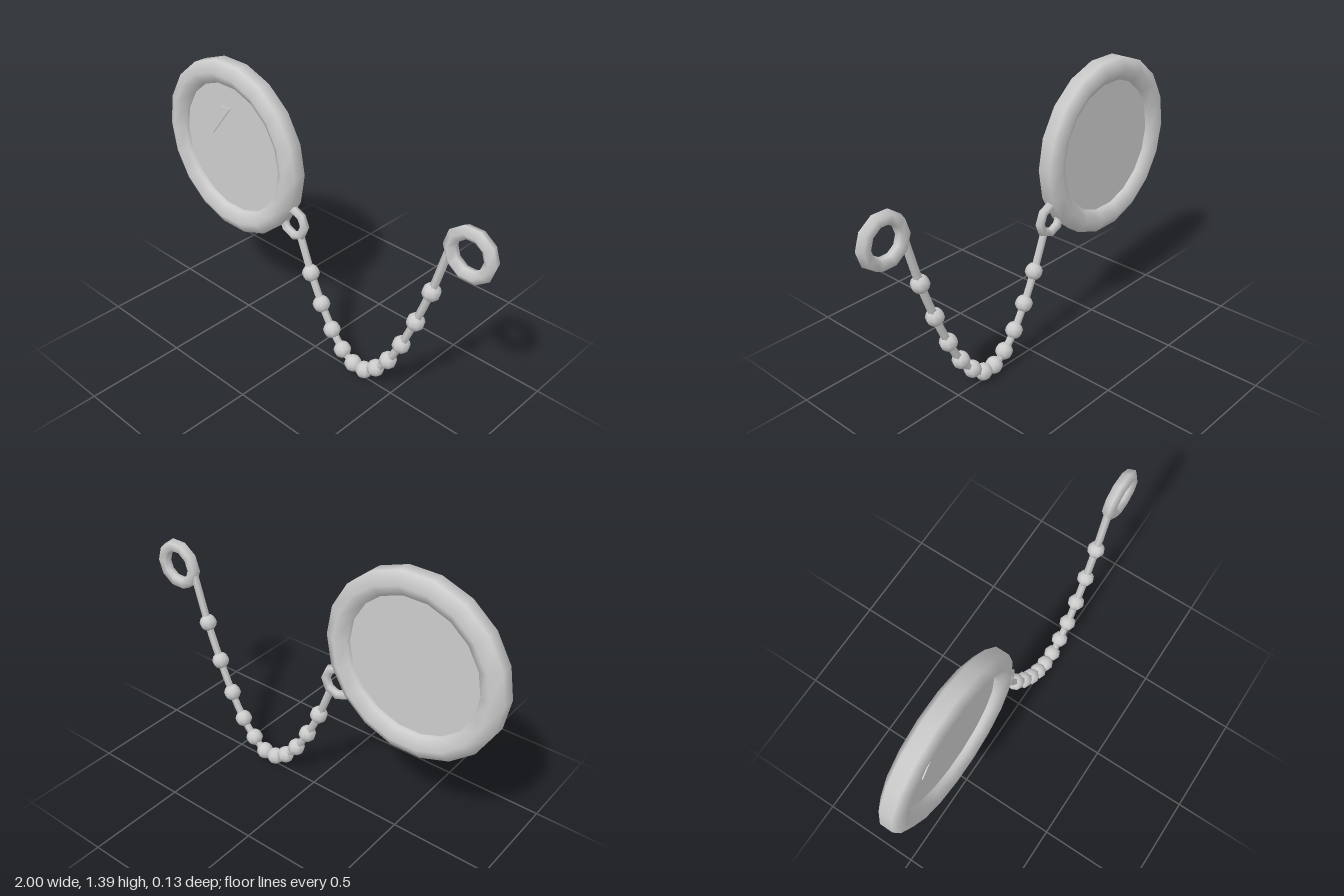
import * as THREE from 'three';

// Ring facing +z whose tube has `sides` sides; `first` is the angle of its first corner.
function ringGeometry(radius, tube, sides, first, segments) {
  const corners = [];
  for (let i = 0; i < sides; i++) {
    const a = first + (i / sides) * Math.PI * 2;
    corners.push(new THREE.Vector2(radius + tube * Math.cos(a), tube * Math.sin(a)));
  }
  // close the loop in the middle of an inner face so the shading has no seam
  const join = corners[0].clone().add(corners[sides - 1]).multiplyScalar(0.5);
  return new THREE.LatheGeometry([join, ...corners, join.clone()], segments, Math.PI / 2)
    .rotateX(Math.PI / 2);
}

export function createModel() {
  const model = new THREE.Group();
  model.name = 'monocle';
  const silver = new THREE.MeshStandardMaterial({ color: 0xcccccc });
  silver.name = 'silver';

  const add = (name, geometry, x = 0, y = 0, z = 0) => {
    const mesh = new THREE.Mesh(geometry, silver);
    mesh.name = name;
    mesh.position.set(x, y, z);
    model.add(mesh);
    return mesh;
  };
  const deg = THREE.MathUtils.degToRad;

  // Rim and lens
  add('rim', ringGeometry(0.394, 0.065, 6, deg(210), 18), -0.55, 0.95);
  const lens = new THREE.CylinderGeometry(0.345, 0.345, 0.02, 18, 1, false, Math.PI / 2);
  add('lens', lens.rotateX(Math.PI / 2), -0.55, 0.95);

  // Slanted glint on the front of the lens
  const glint = new THREE.Shape([
    new THREE.Vector2(-0.755, 0.985), new THREE.Vector2(-0.69, 0.985),
    new THREE.Vector2(-0.555, 1.155), new THREE.Vector2(-0.615, 1.155),
  ]);
  add('glint', new THREE.ExtrudeGeometry(glint, { depth: 0.008, bevelEnabled: false }), 0, 0, 0.008);

  // Rings at the two ends of the chain
  add('rimLoop', ringGeometry(0.072, 0.024, 5, deg(234), 8), -0.145, 0.69);
  add('endRing', ringGeometry(0.102, 0.033, 5, deg(234), 10), 0.866, 0.975);

  // Evenly spaced beads on a hanging cord
  const heights = [0.45, 0.30, 0.18, 0.095, 0.05, 0.05, 0.105, 0.195, 0.33, 0.50, 0.70];
  const beads = heights.map((y, i) => new THREE.Vector3(-0.03 + i * 0.072, y, 0));
  const path = new THREE.CatmullRomCurve3([
    new THREE.Vector3(-0.098, 0.625, 0), ...beads, new THREE.Vector3(0.762, 0.95, 0),
  ]);
  add('cord', new THREE.TubeGeometry(path, 36, 0.02, 5));
  const bead = new THREE.SphereGeometry(0.044, 8, 6);
  beads.forEach((p, i) => add('bead' + (i + 1), bead, p.x, p.y));

  return model;
}
